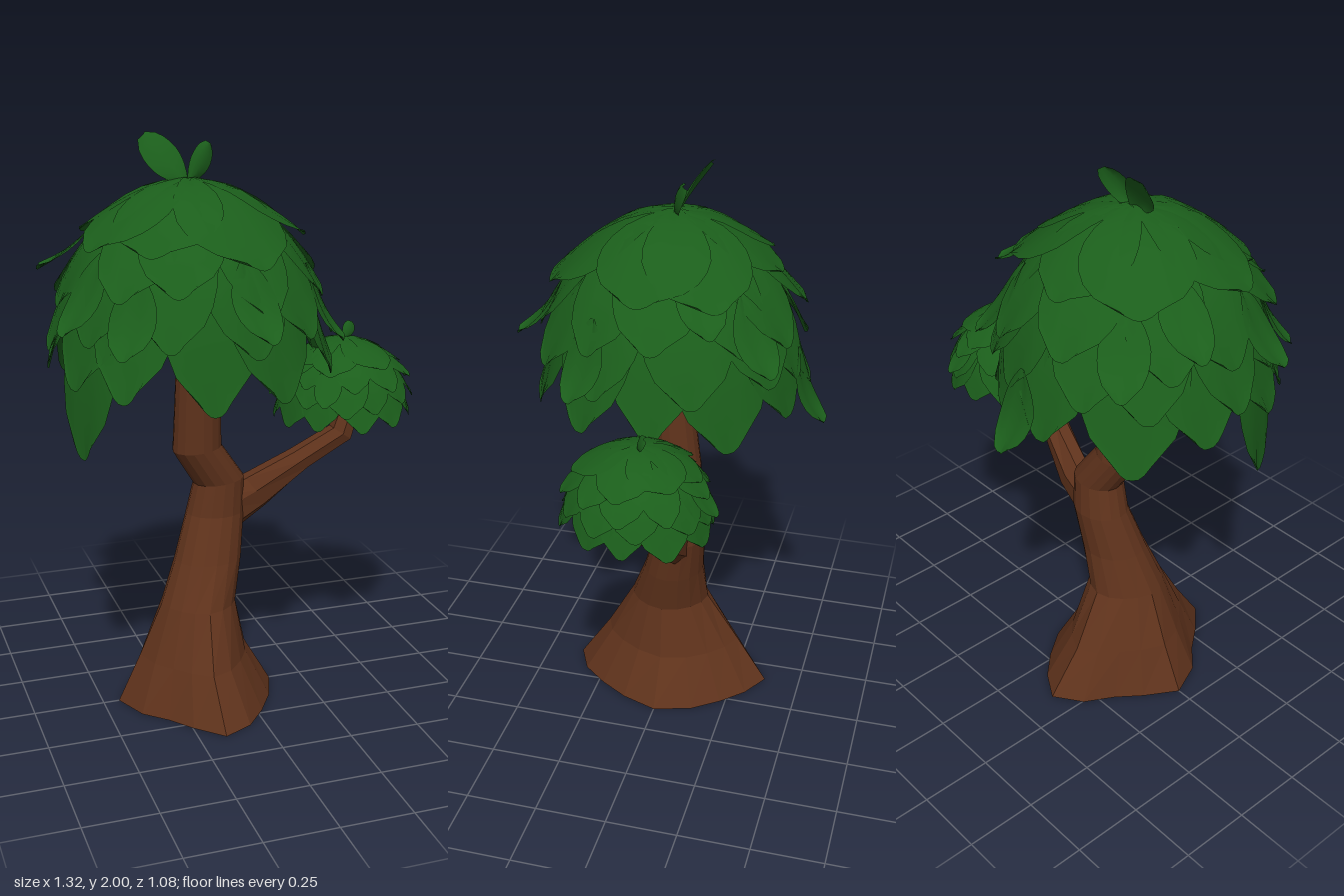
import * as THREE from 'three';

const bark = new THREE.MeshStandardMaterial({ color: 0x60331c, flatShading: true, side: THREE.DoubleSide });
const green = new THREE.MeshStandardMaterial({ color: 0x1b5e1b, side: THREE.DoubleSide });

function seeded(seed) {
  return () => {
    seed = (seed * 16807) % 2147483647;
    return (seed / 2147483647) * 2 - 1; // -1..1
  };
}

// Turns a grid of points into an indexed surface; wrap closes each row.
function gridSurface(rows, cols, pointAt, wrap) {
  const pos = [], index = [];
  for (let j = 0; j < rows; j++)
    for (let i = 0; i < cols; i++) pos.push(...pointAt(i, j));
  for (let j = 0; j < rows - 1; j++)
    for (let i = 0; i < (wrap ? cols : cols - 1); i++) {
      const n = (i + 1) % cols;
      const a = j * cols + i, b = j * cols + n, c = a + cols, d = b + cols;
      if (wrap) index.push(a, c, b, b, c, d);
      else index.push(a, b, c, b, d, c);
    }
  const g = new THREE.BufferGeometry();
  g.setAttribute('position', new THREE.Float32BufferAttribute(pos, 3));
  g.setIndex(index);
  g.computeVertexNormals();
  return g;
}

// Sections: [x, y, z, radius across, radius in z, tilt, depth of hollows between roots]
const hollow = [0, 0.75, 1, 0.5];
function limb(name, sections, sides) {
  const g = gridSurface(sections.length, sides, (i, j) => {
    const [x, y, z, rx, rz, tilt = 0, depth = 0] = sections[j];
    const a = (i / sides) * Math.PI * 2;
    const k = 1 - depth * hollow[i % 4] * (Math.cos(a) < 0 ? 1 : 0.5);
    const u = rx * k * Math.cos(a);
    return [x + u * Math.cos(tilt), y + u * Math.sin(tilt), z + rz * k * Math.sin(a)];
  }, true);
  const mesh = new THREE.Mesh(g, bark);
  mesh.name = name;
  return mesh;
}

// Dome profile that every leaf drapes over (radius, height below the crown)
const dome = new THREE.SplineCurve([
  [0, 0], [0.13, -0.025], [0.26, -0.105], [0.36, -0.22],
  [0.42, -0.36], [0.45, -0.53], [0.46, -0.71], [0.45, -0.9],
].map(([r, y]) => new THREE.Vector2(r, y)));

// Half width of a leaf from stem to tip
const outline = [0.12, 0.45, 0.72, 0.9, 1, 1, 0.93, 0.75, 0.32];

// A leaf lying on the dome from s0 to s1, its tip lifted outward
function drapedLeaf({ angle, s0, s1, half, inset = 0, lift = 0.03 }) {
  const rows = outline.length, cols = 7;
  const ca = Math.cos(angle), sa = Math.sin(angle);
  const g = gridSurface(rows, cols, (i, j) => {
    const t = j / (rows - 1), u = (i / (cols - 1)) * 2 - 1;
    const s = s0 + (s1 - s0) * (t - 0.06 * u * u * t ** 4);
    const p = dome.getPointAt(s), d = dome.getTangentAt(s);
    const w = half * outline[j] * u;
    const off = lift * t ** 3 - inset - 1.1 * w * w - 0.006 * (1 - Math.abs(u)) ** 4;
    const r = p.x - d.y * off, y = p.y + d.x * off;
    return [r * ca - w * sa, y, r * sa + w * ca];
  });
  const mesh = new THREE.Mesh(g, green);
  mesh.name = 'leaf';
  return mesh;
}

// A free leaf standing on the crown
function sproutLeaf(from, to, half) {
  const a = new THREE.Vector3(...from), b = new THREE.Vector3(...to);
  const mid = a.clone().lerp(b, 0.5).add(new THREE.Vector3(0, 0, 0.025));
  const path = new THREE.QuadraticBezierCurve3(a, mid, b);
  const dir = b.clone().sub(a).normalize();
  const side = new THREE.Vector3(dir.y, -dir.x, -0.3).normalize();
  const rows = outline.length;
  const g = gridSurface(rows, 5, (i, j) => {
    const u = i / 2 - 1;
    const p = path.getPoint(j / (rows - 1)).addScaledVector(side, u * half * outline[j]);
    return [p.x, p.y, p.z - 0.012 * u * u];
  });
  const mesh = new THREE.Mesh(g, green);
  mesh.name = 'sproutLeaf';
  return mesh;
}

// Layers from the crown down: count, start, end, half width, inset, lift
const layers = [
  [7, 0.0, 0.4, 0.17, 0, 0.035],
  [10, 0.08, 0.53, 0.135, 0.012, 0.045],
  [11, 0.14, 0.67, 0.14, 0.022, 0.05],
  [11, 0.1, 0.8, 0.165, 0.034, 0.05],
];

function canopy(name, seed) {
  const group = new THREE.Group();
  group.name = name;
  const rnd = seeded(seed);
  layers.forEach(([count, s0, s1, half, inset, lift], k) => {
    for (let i = 0; i < count; i++)
      group.add(drapedLeaf({
        angle: ((i + k * 0.5 + rnd() * 0.2) / count) * Math.PI * 2 + 0.25,
        s0, s1: s1 + rnd() * 0.035, half: half * (1 + rnd() * 0.1),
        inset, lift: lift + rnd() * 0.018,
      }));
  });
  return group;
}

export function createModel() {
  const tree = new THREE.Group();
  tree.name = 'tree';

  // Trunk with flared, ridged roots
  tree.add(limb('trunk', [
    [-0.157, 0, 0, 0.287, 0.37, 0, 0.24],
    [-0.165, 0.17, 0, 0.197, 0.255, 0, 0.17],
    [-0.145, 0.36, 0.005, 0.135, 0.145, 0, 0.06],
    [-0.1, 0.51, -0.02, 0.12, 0.11],
    [-0.063, 0.67, -0.05, 0.105, 0.092],
    [-0.05, 0.79, -0.047, 0.092, 0.084, 0.1],
    [-0.135, 0.92, -0.025, 0.087, 0.083, 0.1],
    [-0.137, 1.2, 0.0, 0.077, 0.073],
    [-0.14, 1.41, 0.03, 0.06, 0.058],
  ], 16));

  // Side branch
  tree.add(limb('branch', [
    [-0.02, 0.67, -0.055, 0.09, 0.05, -0.95],
    [0.085, 0.73, -0.045, 0.075, 0.055, -0.95],
    [0.24, 0.845, -0.005, 0.047, 0.052, -0.85],
    [0.385, 0.94, 0.03, 0.047, 0.047, -0.6],
    [0.415, 1.03, 0.028, 0.042, 0.045, -0.1],
    [0.425, 1.11, 0.015, 0.036, 0.036],
  ], 7));

  // Main canopy
  const main = canopy('mainCanopy', 41);
  main.position.set(-0.165, 1.86, 0);
  // Loose leaves standing away from the dome: x, z, end, lift
  [[-0.49, -0.17, 0.5, 0.1], [-0.34, -0.36, 0.58, 0.09], [0.31, -0.4, 0.6, 0.07],
    [0.38, -0.2, 0.47, 0.08], [-0.42, 0.18, 0.62, 0.08], [-0.32, 0.38, 0.66, 0.07],
    [0.1, 0.48, 0.62, 0.1], [0.42, 0.22, 0.68, 0.07], [0.03, -0.5, 0.83, 0.08],
  ].forEach(([x, z, s1, lift]) => main.add(drapedLeaf({
    angle: Math.atan2(z, x), s0: s1 - 0.24, s1, half: 0.08, inset: -0.005, lift,
  })));
  // Long hanging leaf
  main.add(drapedLeaf({ angle: Math.PI - 0.42, s0: 0.2, s1: 0.98, half: 0.14, inset: 0.02 }));
  main.add(sproutLeaf([0, -0.02, 0], [-0.13, 0.13, -0.09], 0.06));
  main.add(sproutLeaf([0.005, -0.02, 0], [0.09, 0.105, -0.05], 0.042));
  tree.add(main);

  // Small canopy on the branch
  const small = canopy('smallCanopy', 97);
  small.position.set(0.412, 1.275, -0.03);
  small.scale.set(0.525, 0.42, 0.54);
  [2.2, 3.2, 4.9].forEach((angle) => small.add(drapedLeaf({
    angle, s0: 0.3, s1: 0.62, half: 0.09, inset: -0.005, lift: 0.07,
  })));
  small.add(sproutLeaf([0.02, -0.02, 0], [0.08, 0.11, -0.06], 0.06));
  tree.add(small);

  return tree;
}
